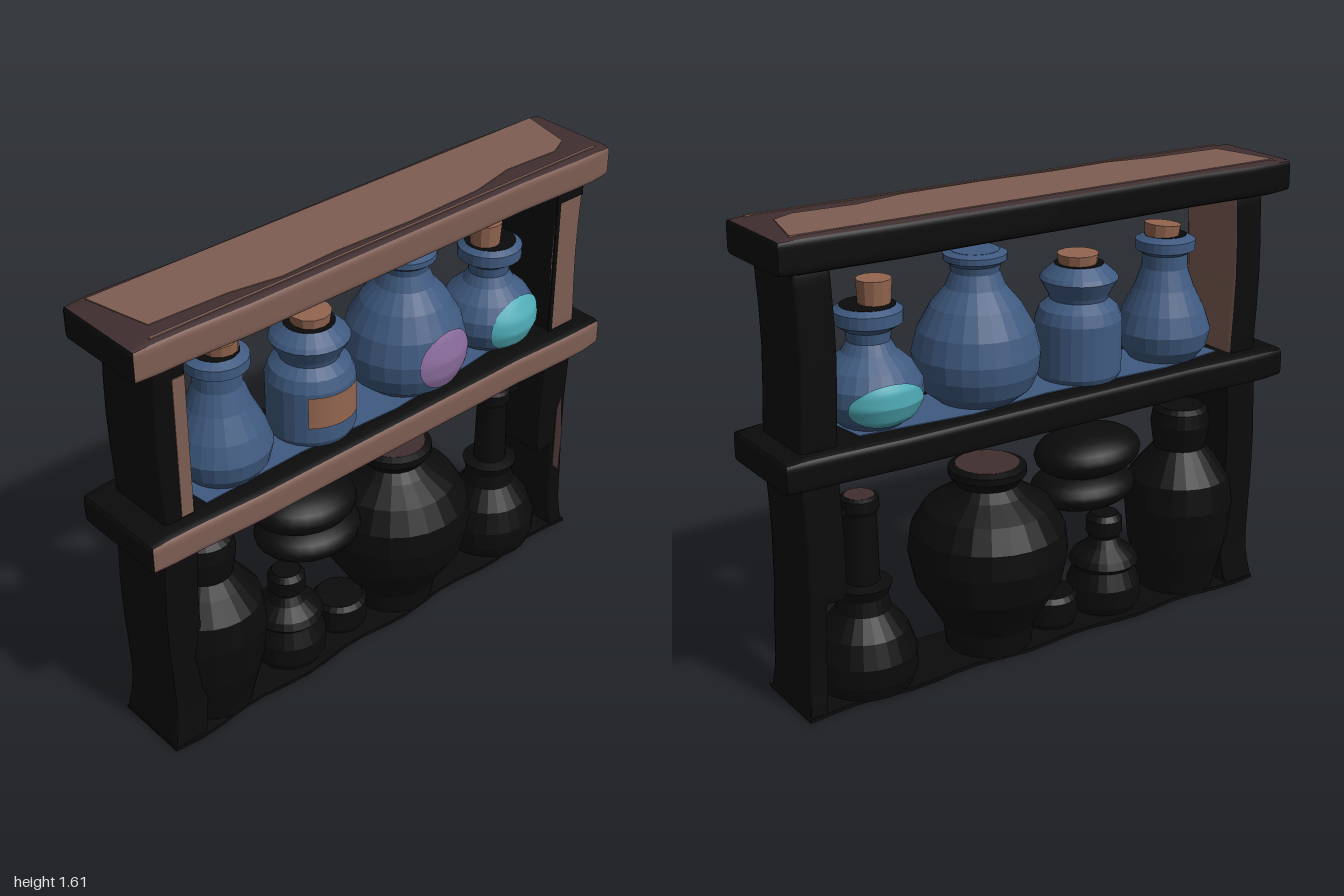
import * as THREE from 'three';

const mat = (name, color, extra = {}) => {
  const m = new THREE.MeshStandardMaterial({ color, ...extra });
  m.name = name;
  return m;
};

export function createModel() {
  const root = new THREE.Group();
  root.name = 'potionShelf';

  const black = mat('black', 0x0b0b0b);
  const wood = mat('wood', 0x7d5d53);
  const darkWood = mat('darkWood', 0x402e2f);
  const blue = mat('blueGlass', 0x3f5a80);
  const cork = mat('cork', 0x93654f);
  const purple = mat('purple', 0x8a6c9c);
  const teal = mat('teal', 0x4fabb6);

  const add = (name, geo, material, x = 0, y = 0, z = 0, parent = root) => {
    const m = new THREE.Mesh(geo, material);
    m.name = name;
    m.position.set(x, y, z);
    parent.add(m);
    return m;
  };

  // Worn timber: a box with rounded edges, moved by a rule. Sides: +x -x +y -y +z -z
  function beam(name, [x0, x1], [y0, y1], [z0, z1], r, sides, bend) {
    const half = [(x1 - x0) / 2, (y1 - y0) / 2, (z1 - z0) / 2];
    const geo = new THREE.BoxGeometry(2, 2, 2, 12, 12, 8);
    const pos = geo.attributes.position;
    const p = new THREE.Vector3(), inner = new THREE.Vector3();
    for (let i = 0; i < pos.count; i++) {
      p.fromBufferAttribute(pos, i);
      half.forEach((h, k) => {
        const s = p.getComponent(k);
        p.setComponent(k, Math.sign(s) * Math.sqrt(Math.abs(s)) * h);
        inner.setComponent(k, THREE.MathUtils.clamp(p.getComponent(k), r - h, h - r));
      });
      p.sub(inner).setLength(r).add(inner);
      p.add(new THREE.Vector3((x0 + x1) / 2, (y0 + y1) / 2, (z0 + z1) / 2));
      if (bend) bend(p);
      pos.setXYZ(i, p.x, p.y, p.z);
    }
    geo.computeVertexNormals();
    return add(name, geo, sides);
  }

  // Thin horizontal painted plate, outline given in x and z
  function plate(name, outline, top, material, depth = 0.008) {
    const shape = new THREE.Shape(outline.map(([x, z]) => new THREE.Vector2(x, z)));
    const geo = new THREE.ExtrudeGeometry(shape, { depth, bevelEnabled: false });
    geo.rotateX(Math.PI / 2);
    return add(name, geo, material, 0, top, 0);
  }

  // Boards
  const wavy = p => { p.z += 0.005 * Math.sin(p.x * 9); };
  beam('topBoard', [-1, 0.985], [1.49, 1.61], [-0.178, 0.182], 0.025,
    [black, black, darkWood, black, wood, black], wavy);
  beam('middleBoard', [-1, 1], [0.81, 0.925], [-0.188, 0.195], 0.028,
    [black, black, black, black, wood, black], wavy);
  plate('topBoardFace', [[-0.93, -0.15], [0.93, -0.15], [0.88, 0.05], [0.8, 0.09], [0.58, 0.08],
    [0.4, 0.12], [0.1, 0.13], [-0.2, 0.12], [-0.42, 0.13], [-0.6, 0.1], [-0.88, 0.09], [-0.9, 0]], 1.613, wood);
  plate('topBoardFrontStrip', [[-0.92, 0.145], [0.93, 0.145], [0.93, 0.155], [-0.92, 0.155]], 1.613, wood);
  plate('topBoardUnderside', [[-0.78, -0.13], [0.78, -0.13], [0.78, 0.13], [-0.78, 0.13]], 1.495, blue);
  plate('middleBoardPaint', [[-0.76, -0.09], [-0.5, -0.13], [0, -0.11], [0.3, -0.14], [0.7, -0.1],
    [0.72, 0.06], [0.4, 0.1], [0.05, 0.13], [-0.35, 0.11], [-0.74, 0.12]], 0.928, blue);

  // Ragged base sheet
  const edge = [];
  for (let i = 0; i <= 20; i++) edge.push([-0.94 + i * 0.094, 0.14 + 0.01 * Math.sin(i * 1.3)]);
  plate('baseSheet', [...edge, ...edge.map(([x, z]) => [x, -z]).reverse()], 0.012, black, 0.012);

  // Posts
  const wobble = p => { p.x += 0.006 * Math.sin(p.y * 9); };
  const flare = side => p => {
    wobble(p);
    const f = Math.max(0, 0.18 - p.y) / 0.18;
    p.x += side * 0.02 * f * f;
    p.z *= 1 + 0.12 * f * f;
  };
  beam('upperRightPost', [-0.91, -0.79], [0.9, 1.5], [-0.138, 0.13], 0.018,
    [wood, black, black, black, black, black], wobble);
  beam('upperLeftPost', [0.785, 0.92], [0.9, 1.5], [-0.138, 0.13], 0.018,
    [black, black, black, black, wood, black], wobble);
  beam('lowerRightPost', [-0.925, -0.79], [0, 0.83], [-0.13, 0.13], 0.015, black, flare(-1));
  beam('lowerLeftPost', [0.85, 0.92], [0, 0.83], [-0.13, 0.13], 0.015, black, flare(1));
  beam('lowerLeftPostStub', [0.78, 0.89], [0.39, 0.83], [-0.13, 0.128], 0.015, black, wobble);
  add('rightPostStripe', new THREE.BoxGeometry(0.045, 0.5, 0.006), wood, -0.82, 1.18, 0.13);
  add('leftPostShadeOuter', new THREE.BoxGeometry(0.018, 0.56, 0.006), black, 0.795, 1.2, 0.13);
  add('leftPostShadeTop', new THREE.BoxGeometry(0.12, 0.06, 0.006), black, 0.852, 1.46, 0.13);
  const worn = new THREE.Shape([[0.865, 0.3], [0.9, 0.26], [0.905, 0.42], [0.885, 0.61], [0.865, 0.55]]
    .map(([x, y]) => new THREE.Vector2(x, y)));
  add('leftPostWornPatch', new THREE.ExtrudeGeometry(worn, { depth: 0.006, bevelEnabled: false }),
    darkWood, 0, 0, 0.128);

  // Turned vessels: profile points are [radius, height]; the mouth is a thin disc
  const facet = geo => {
    const g = geo.toNonIndexed();
    g.computeVertexNormals();
    return g;
  };
  function vessel(name, x, profile, material, mouth, sides = 24) {
    const g = new THREE.Group();
    g.name = name;
    g.position.x = x;
    root.add(g);
    const pts = [[0, profile[0][1]], ...profile].map(([r, y]) => new THREE.Vector2(r, y));
    add(name + 'Body', facet(new THREE.LatheGeometry(pts, sides)), material, 0, 0, 0, g);
    const [r, y] = profile[profile.length - 1];
    add(name + 'Mouth', new THREE.CylinderGeometry(r, r, 0.008, sides), mouth, 0, y - 0.003, 0, g);
    return g;
  }
  function stopper(parent, r, y0, y1, x = 0, tilt = 0) {
    const c = add('stopper', facet(new THREE.CylinderGeometry(r * 1.05, r * 0.92, y1 - y0, 12)),
      cork, x, (y0 + y1) / 2, 0, parent);
    c.rotation.z = tilt;
  }
  // Wraps a flat outline onto a turned body, on the front (1) or back (-1)
  function decal(name, parent, profile, geo, cx, cy, rx, ry, material, side = 1) {
    const pos = geo.attributes.position;
    for (let i = 0; i < pos.count; i++) {
      const x = cx + pos.getX(i) * rx, y = cy + pos.getY(i) * ry;
      let k = 1;
      while (k < profile.length - 1 && profile[k][1] < y) k++;
      const [r0, y0] = profile[k - 1], [r1, y1] = profile[k];
      const r = r0 + (r1 - r0) * (y - y0) / (y1 - y0) + 0.005;
      pos.setXYZ(i, x, y, Math.sqrt(Math.max(0, r * r - x * x)));
    }
    geo.computeVertexNormals();
    const m = add(name, geo, material, 0, 0, 0, parent);
    if (side < 0) m.rotation.y = Math.PI;
  }
  const disc = () => new THREE.RingGeometry(0.001, 1, 28, 8);

  // Blue bottles on the middle board
  const p1 = [[0.12, 0.925], [0.155, 0.97], [0.168, 1.03], [0.145, 1.1], [0.105, 1.18], [0.08, 1.25],
    [0.08, 1.3], [0.105, 1.315], [0.105, 1.35], [0.075, 1.365]];
  stopper(vessel('slenderBottle', -0.585, p1, blue, black), 0.062, 1.34, 1.405, 0.015, 0.1);

  const p2 = [[0.14, 0.925], [0.15, 0.945], [0.15, 1.13], [0.135, 1.17], [0.1, 1.2], [0.105, 1.215],
    [0.135, 1.27], [0.125, 1.285], [0.085, 1.32]];
  const b2 = vessel('labelledBottle', -0.215, p2, blue, black);
  stopper(b2, 0.068, 1.3, 1.355, 0.005);
  decal('label', b2, p2, new THREE.PlaneGeometry(2, 2, 12, 4), -0.005, 1.063, 0.1, 0.058, cork);

  const p3 = [[0.13, 0.925], [0.185, 0.97], [0.21, 1.03], [0.215, 1.09], [0.195, 1.17], [0.15, 1.25],
    [0.1, 1.31], [0.08, 1.36], [0.085, 1.385], [0.105, 1.4], [0.105, 1.42], [0.08, 1.43]];
  const b3 = vessel('roundBottle', 0.2, p3, blue, blue);
  decal('purpleSpot', b3, p3, disc(), 0.015, 1.083, 0.12, 0.102, purple);

  const p4 = [[0.1, 0.925], [0.15, 0.965], [0.173, 1.02], [0.17, 1.07], [0.14, 1.12], [0.09, 1.165],
    [0.07, 1.2], [0.075, 1.235], [0.112, 1.26], [0.112, 1.3], [0.09, 1.315]];
  const b4 = vessel('smallBottle', 0.6, p4, blue, black);
  stopper(b4, 0.055, 1.28, 1.395, -0.025);
  decal('tealSpotFront', b4, p4, disc(), 0.015, 1.035, 0.13, 0.098, teal);
  decal('tealSpotBack', b4, p4, disc(), -0.01, 1.02, 0.13, 0.075, teal, -1);

  // Dark jars on the base
  vessel('tallJar', -0.68, [[0.14, 0.01], [0.15, 0.06], [0.185, 0.2], [0.2, 0.35], [0.185, 0.45], [0.13, 0.52],
    [0.095, 0.56], [0.1, 0.59], [0.108, 0.65], [0.1, 0.7], [0.08, 0.715]], black, black);
  vessel('littleBottle', -0.34, [[0.12, 0.01], [0.135, 0.04], [0.135, 0.11], [0.11, 0.17], [0.128, 0.19],
    [0.115, 0.215], [0.07, 0.25], [0.052, 0.28], [0.066, 0.3], [0.066, 0.35], [0.05, 0.37]], black, black);
  vessel('lowPot', -0.1, [[0.09, 0.01], [0.1, 0.03], [0.1, 0.11], [0.085, 0.128]], black, black);
  vessel('greatJar', 0.16, [[0.15, 0.01], [0.16, 0.09], [0.2, 0.16], [0.255, 0.25], [0.278, 0.36], [0.268, 0.45],
    [0.22, 0.53], [0.14, 0.58], [0.108, 0.61], [0.135, 0.645], [0.135, 0.67], [0.11, 0.68]], black, darkWood);
  vessel('flask', 0.655, [[0.16, 0.01], [0.178, 0.06], [0.178, 0.13], [0.15, 0.21], [0.095, 0.28], [0.085, 0.33],
    [0.1, 0.37], [0.06, 0.38], [0.055, 0.62], [0.066, 0.64], [0.064, 0.675], [0.05, 0.683]], black, darkWood);
  add('hook', new THREE.BoxGeometry(0.1, 0.025, 0.04), black, 0.745, 0.642, 0);

  // Pair of leaning bowls, one over the other
  const bowl = (name, x, y, rx, ry, tilt) => {
    const m = add(name, new THREE.SphereGeometry(1, 24, 14), black, x, y, 0);
    m.scale.set(rx, ry, 0.165);
    m.rotation.z = tilt;
  };
  bowl('upperBowl', -0.26, 0.63, 0.2, 0.085, -0.06);
  bowl('lowerBowl', -0.24, 0.505, 0.198, 0.075, -0.02);

  return root;
}
